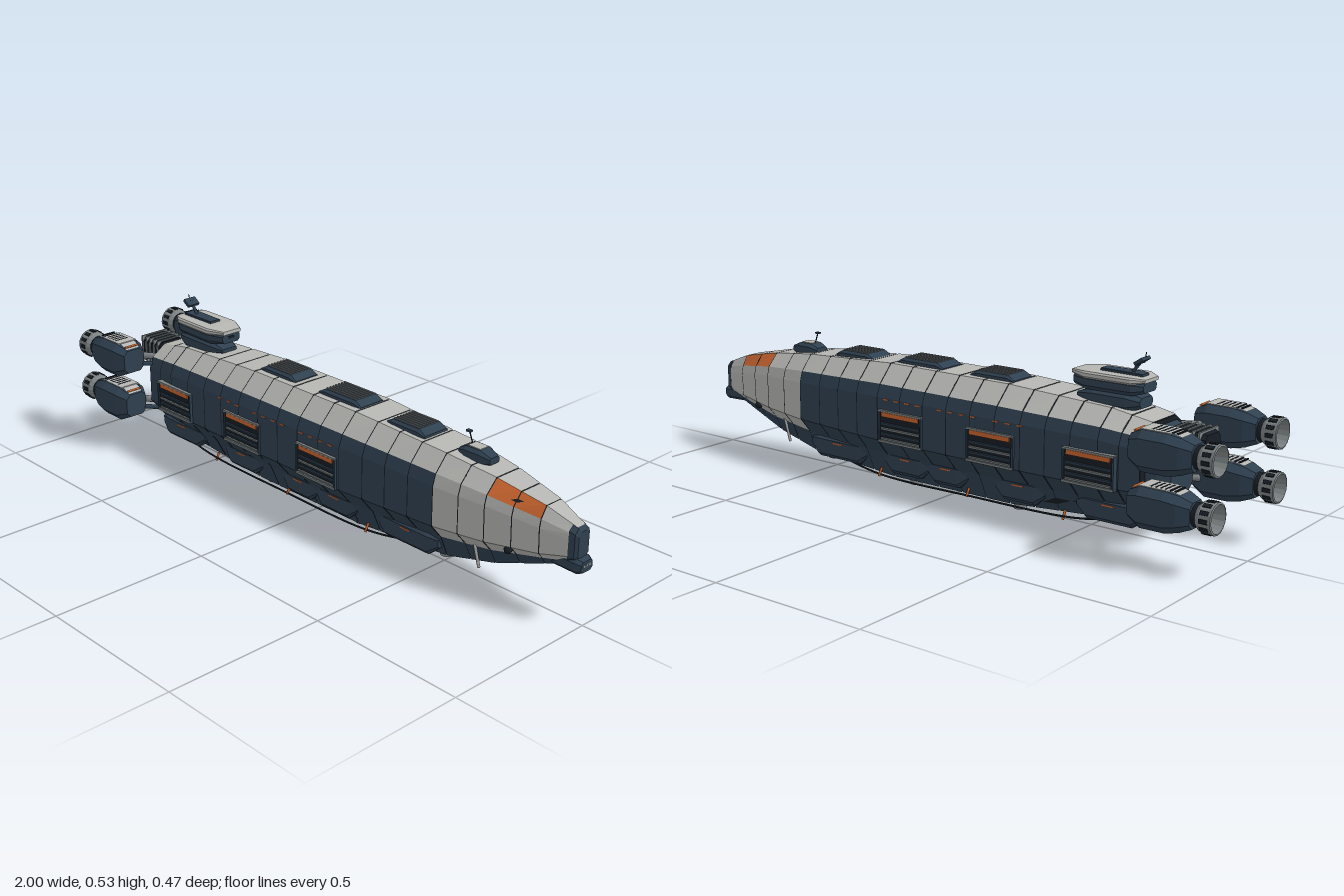
import * as THREE from 'three';

const mat = (name, color) => Object.assign(new THREE.MeshStandardMaterial({ color }), { name });

// Hull stations: x, then [y, z] of roof edge, shoulder, side top, side bottom, chine, keel
const STATIONS = [
  [-0.73, .352, .060, .318, .108, .285, .122, .170, .122, .125, .085, .070, .045],
  [-0.60, .374, .066, .330, .120, .297, .133, .165, .133, .115, .090, .055, .050],
  [-0.25, .391, .070, .337, .125, .300, .139, .165, .139, .110, .090, .031, .055],
  [0.20, .392, .070, .337, .122, .300, .136, .165, .136, .110, .090, .031, .055],
  [0.55, .373, .060, .325, .102, .290, .113, .170, .113, .125, .075, .055, .045],
  [0.72, .353, .046, .314, .084, .285, .092, .178, .090, .142, .058, .092, .032],
  [0.88, .322, .030, .290, .050, .265, .055, .190, .052, .172, .036, .150, .022],
  [0.975, .287, .015, .270, .027, .250, .029, .208, .029, .192, .023, .185, .015],
];

// Half cross-section at x, from the roof centre to the keel centre, swollen by s
function half(x, s = 1) {
  let i = 0;
  while (i < STATIONS.length - 2 && x > STATIONS[i + 1][0]) i++;
  const a = STATIONS[i], b = STATIONS[i + 1], t = (x - a[0]) / (b[0] - a[0]);
  const v = a.map((n, k) => n + (b[k] - n) * t);
  const pts = [[v[1], 0]];
  for (let k = 1; k < 13; k += 2) pts.push([v[k], v[k + 1]]);
  pts.push([v[11], 0]);
  return pts.map(([y, z]) => [x, .22 + (y - .22) * s, z * s]);
}
const mirror = (ring) => ring.map(([x, y, z]) => [x, y, -z]).reverse();

// Flat-shaded skin through rings ordered along x; closed rings get end caps
function loft(rings, closed = true) {
  const p = [], n = rings[0].length;
  for (let r = 0; r < rings.length - 1; r++) {
    for (let k = 0; k < (closed ? n : n - 1); k++) {
      const j = (k + 1) % n, [a, b] = [rings[r], rings[r + 1]];
      p.push(a[j], b[j], b[k], a[j], b[k], a[k]);
    }
  }
  if (closed) {
    const a = rings[0], b = rings[rings.length - 1];
    for (let k = 1; k < n - 1; k++) p.push(b[0], b[k], b[k + 1], a[0], a[k + 1], a[k]);
  }
  const g = new THREE.BufferGeometry();
  g.setAttribute('position', new THREE.Float32BufferAttribute(p.flat(), 3));
  g.computeVertexNormals();
  return g;
}

// Eight-sided ring at x around (cy, cz)
function oct(x, cy, cz, hy, hz, c) {
  return [[hy, c - hz], [hy, hz - c], [hy - c, hz], [c - hy, hz], [-hy, hz - c], [-hy, c - hz], [c - hy, -hz], [hy - c, -hz]]
    .map(([y, z]) => [x, cy + y, cz + z]);
}

export function createModel() {
  const root = new THREE.Group();
  root.name = 'spaceship';
  const light = mat('pale plating', 0xb6b7b3), navy = mat('navy plating', 0x2f4050);
  const dark = mat('dark seams', 0x161d24), grey = mat('grey metal', 0x7c8284), orange = mat('orange', 0xc8642f);

  const add = (name, geo, m, parent = root) => {
    const mesh = new THREE.Mesh(geo, m);
    mesh.name = name;
    parent.add(mesh);
    return mesh;
  };
  const box = (name, m, w, h, d, x, y, z, parent) => {
    const b = add(name, new THREE.BoxGeometry(w, h, d), m, parent);
    b.position.set(x, y, z);
    return b;
  };
  const pod = (name, m, cy, cz, list) =>
    add(name, loft(list.map(([x, hy, hz, c, dy = 0]) => oct(x, cy + dy, cz, hy, hz, c))), m);
  const beam = (name, m, a, b, r, sides = 8) => {
    const A = new THREE.Vector3(...a), B = new THREE.Vector3(...b), d = B.clone().sub(A);
    const mesh = add(name, new THREE.CylinderGeometry(r, r, d.length(), sides), m);
    mesh.position.copy(A).add(B).multiplyScalar(.5);
    mesh.quaternion.setFromUnitVectors(new THREE.Vector3(0, 1, 0), d.normalize());
    return mesh;
  };

  // Hull core, seen only through the seams
  add('hullCore', loft(STATIONS.map(([x]) => { const h = half(x); return [...h, ...mirror(h.slice(1, -1))]; })), dark);

  // Hull plates, one row of bands per part of the cross-section
  const cuts = [-.73, -.665, -.6, -.51, -.425, -.34, -.25, -.16, -.07, .02, .11, .2, .29, .375, .46, .55, .635, .72, .8, .88, .975];
  for (let i = 0; i < cuts.length - 1; i++) {
    const a = cuts[i] + .0015, b = cuts[i + 1] - .0015, nose = a > .54;
    const plate = (name, k0, k1, m) => {
      const rings = [a, b].map((x) => half(x, 1.018).slice(k0, k1 + 1));
      add(name, loft(rings, false), m);
      add(name, loft(rings.map(mirror), false), m);
    };
    plate('roofPlate', 0, 1, light);
    plate('shoulderPlate', 1, 2, a > .71 && b < .89 ? orange : light);
    plate('sidePlate', 2, 4, nose ? light : navy);
    plate('lowerPlate', 4, 5, nose ? light : navy);
    plate('bellyPlate', 5, 7, navy);
  }

  // Nose cap and chin
  pod('noseCap', navy, .238, 0, [[.96, .055, .034, .014], [.978, .049, .03, .014], [.985, .04, .022, .012]]);
  pod('chin', navy, .18, 0, [[.86, .012, .02, .006], [.91, .02, .03, .008], [.985, .022, .032, .01], [1, .016, .024, .008]]);
  for (let k = -1; k <= 1; k++) box('chinSensor', grey, .003, .008, .008, .9995, .183, k * .012);

  // Stern block and central engine
  pod('sternBlock', navy, .225, 0, [[-.79, .085, .06, .03], [-.76, .105, .085, .03], [-.72, .115, .1, .03]]);
  pod('centreEngine', dark, .3, 0, [[-.88, .035, .042, .012], [-.86, .042, .05, .014], [-.77, .042, .05, .014]]);
  for (let k = 0; k < 5; k++) box('coolingRib', grey, .006, .09, .106, -.865 + k * .021, .3, 0);

  // Four engines, each with a nozzle and struts
  const nozzle = new THREE.LatheGeometry([[.034, 0], [.043, .012], [.045, .05], [.04, .052], [.034, .015], [0, .01]]
    .map(([r, y]) => new THREE.Vector2(r, y)), 16).toNonIndexed();
  nozzle.computeVertexNormals();
  nozzle.rotateZ(Math.PI / 2);
  const nozzleMat = grey;
  for (const s of [1, -1]) for (const y of [.318, .163]) {
    const z = s * .175;
    pod('engineBody', navy, y, z, [[-.935, .036, .036, .014], [-.9, .05, .05, .02], [-.86, .0575, .0575, .021], [-.785, .0575, .0575, .021], [-.745, .039, .039, .015]]);
    box('engineTopPlate', light, .09, .004, .07, -.823, y + .0575, z);
    for (const [x0, h0, x1, h1] of [[-.9, .05, -.868, .0565], [-.778, .0545, -.748, .041]]) {
      const w = .026;
      add('engineTopSlope', loft([[[x0, y + h0 + .002, z - w], [x0, y + h0 + .002, z + w]], [[x1, y + h1 + .002, z - w], [x1, y + h1 + .002, z + w]]], false), light);
    }
    for (let k = 0; k < 6; k++) box('engineLouver', dark, .006, .003, .05, -.885 + k * .015, y + .0585, z);
    const mark = box('engineMark', orange, .006, .006, .05, -.757, y + .048, z);
    mark.rotation.z = -.7;
    const bell = add('nozzle', nozzle, nozzleMat);
    bell.position.set(-.948, y, z);
    const neck = add('nozzleNeck', new THREE.CylinderGeometry(.033, .033, .03, 16).rotateZ(Math.PI / 2), dark);
    neck.position.set(-.942, y, z);
    for (let k = 0; k < 12; k++) {
      const t = k * Math.PI / 6;
      box('nozzleVent', dark, .024, .007, .012, -.978, y + Math.cos(t) * .0425, z + Math.sin(t) * .0425).rotation.x = t;
    }
    beam('engineStrut', grey, [-.72, y, s * .09], [-.79, y, s * .135], .011);
    beam('engineBrace', navy, [-.71, y - .02, s * .1], [-.765, y - .02, s * .15], .008);
  }

  // Side bays with frame, slats and an orange lintel
  for (const s of [1, -1]) for (const x of [-.575, -.235, .105]) {
    box('bayBack', dark, .165, .09, .02, x, .212, s * .133);
    for (const dx of [-.083, .083]) box('bayPost', navy, .006, .1, .026, x + dx, .212, s * .134);
    box('baySill', grey, .17, .007, .028, x, .166, s * .134);
    box('bayTop', grey, .17, .006, .028, x, .262, s * .134);
    box('bayLintel', orange, .145, .014, .026, x, .251, s * .134);
    for (let k = 0; k < 4; k++) box('baySlat', k % 2 ? navy : grey, .15, .007, .024, x, .179 + k * .016, s * .134).rotation.x = s * .5;
  }
  // Window dashes along the sides
  for (const s of [1, -1]) for (let k = 0; k < 14; k++) {
    if (k % 5 !== 3) box('window', orange, .018, .004, .004, -.34 + k * .042, .297, s * half(-.34 + k * .042, 1.018)[3][2]);
  }

  // Roof hatches with ribs along the ship
  for (const [x, w] of [[-.17, .08], [.105, .09], [.375, .077]]) {
    const y = half(x)[0][1];
    pod('roofHatch', navy, y, 0, [[x - w, .006, .047, .003], [x - w + .025, .02, .05, .008], [x + w - .025, .02, .05, .008], [x + w, .006, .047, .003]]);
    for (let k = 0; k < 7; k++) box('hatchRib', grey, 2 * w - .05, .004, .005, x, y + .021, -.036 + k * .012);
  }

  // Bridge tower
  pod('bridgeNeck', navy, .39, 0, [[-.67, .015, .035, .01], [-.63, .028, .05, .015], [-.52, .028, .05, .015], [-.46, .006, .03, .003]]);
  pod('bridge', navy, .434, 0, [[-.68, .014, .035, .008], [-.65, .022, .055, .012], [-.5, .022, .058, .012], [-.45, .016, .035, .008]]);
  pod('bridgeRoof', light, .455, 0, [[-.685, .005, .036, .003], [-.65, .01, .06, .005], [-.5, .01, .062, .005], [-.445, .006, .036, .003]]);
  pod('bridgeDeck', navy, .466, 0, [[-.665, .004, .018, .002], [-.645, .006, .022, .002], [-.53, .006, .02, .002]]);
  box('bridgeWindow', dark, .004, .008, .024, -.45, .437, 0);
  // Mast and antenna
  beam('mast', navy, [-.62, .465, 0], [-.655, .51, 0], .005);
  box('mastBar', navy, .03, .01, .044, -.652, .505, 0).rotation.z = -.6;
  beam('antenna', dark, [-.66, .5, 0], [-.665, .53, 0], .0015, 5);

  // Forward roof turret
  pod('turret', navy, .374, 0, [[.56, .012, .025, .006], [.585, .024, .032, .01], [.635, .024, .03, .01], [.67, .01, .02, .005]]);
  box('turretTop', light, .045, .004, .035, .61, .398, 0);
  beam('turretAntenna', dark, [.59, .395, 0], [.575, .435, 0], .002, 5);
  box('turretAntennaHead', navy, .016, .005, .012, .575, .433, 0);

  // Keel pods, pipes, forward struts and sensor balls
  for (const s of [1, -1]) {
    for (const [a, b] of [[-.72, -.5], [-.39, -.21], [-.11, .05], [.04, .22], [.3, .54]]) {
      const z = s * (b > .5 ? .062 : .07);
      pod('keelPod', navy, .084, z, [[a, .015, .012, .005, .01], [a + .035, .036, .023, .012], [b - .035, .036, .023, .012], [b, .015, .012, .005, .01]]);
      box('keelPodMark', orange, .04, .004, .004, (a + b) / 2, .101, z + s * .0225);
    }
    const path = new THREE.CatmullRomCurve3([[-.66, .07, .07], [-.5, .038, .074], [-.1, .028, .074], [.25, .03, .072], [.45, .06, .06]]
      .map(([x, y, z]) => new THREE.Vector3(x, y, z * s)));
    add('keelPipe', new THREE.TubeGeometry(path, 32, .003, 6), dark);
    for (const x of [-.45, -.1, .25]) beam('pipeClamp', orange, [x, .05, s * .064], [x, .024, s * .076], .004, 6);
    beam('forwardStrut', light, [.67, .15, s * .07], [.67, .062, s * .046], .0045);
    add('sensorBall', new THREE.SphereGeometry(.012, 12, 8), dark).position.set(.79, .172, s * .07);
  }

  // Belly sensors
  for (const [x, y] of [[-.575, .028], [-.245, 0], [.16, 0], [.51, .025]]) {
    const g = new THREE.CylinderGeometry(.016, .021, .036, 16);
    add('bellySensor', g, grey).position.set(x, y + .018, 0);
    add('bellySensorCollar', new THREE.CylinderGeometry(.026, .02, .016, 16), navy).position.set(x, y + .036, 0);
  }
  // Ventral tail keel
  pod('ventralBlock', navy, .13, 0, [[.5, .05, .04, .02], [.7, .035, .034, .015], [.84, .016, .022, .008, .02]]);
  return root;
}
